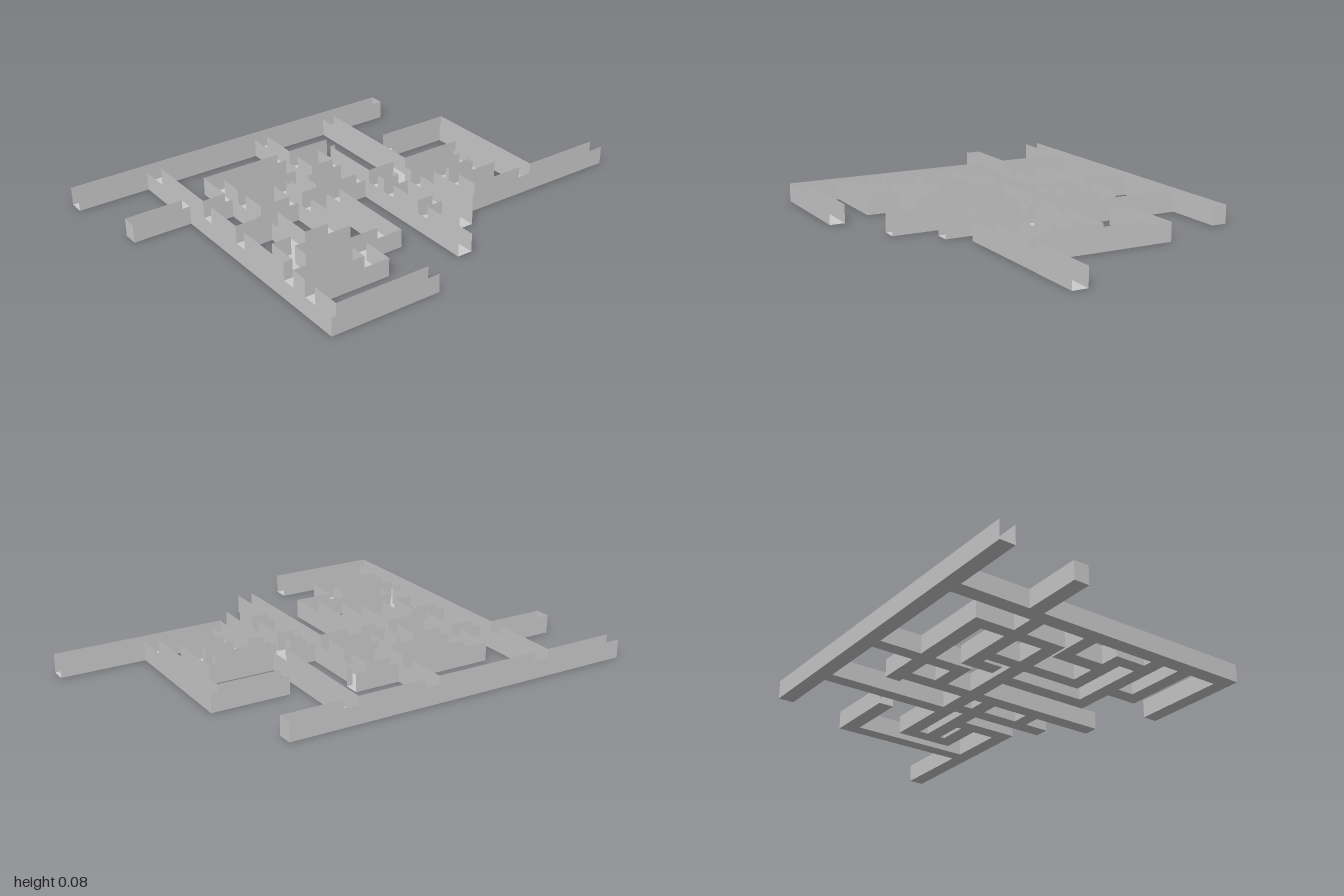
import * as THREE from 'three';

const HEIGHT = 0.078;

// Corridor footprints: [x0, x1, z0, z1, open end]
const corridors = [
  // outer passages
  [-0.70, -0.635, -0.52, 1.0, 'z1'],
  [-0.70, 0.70, 0.625, 0.69],
  [0.635, 0.70, 0.215, 0.69, 'z0'],
  [-0.34, -0.275, 0.625, 0.94],
  // back hook
  [0.245, 0.31, -1.0, -0.275, 'z0'],
  [-0.345, 0.31, -0.645, -0.585],
  [-0.345, -0.28, -0.645, -0.315, 'z1'],
  [-0.005, 0.31, -0.34, -0.275],
  // central spine and its loops
  [-0.11, -0.045, -0.535, 0.525],
  [-0.11, 0.145, -0.535, -0.47],
  [0.08, 0.145, -0.535, -0.275],
  [-0.005, 0.06, -0.535, 0.0],
  [-0.70, -0.045, -0.255, -0.195],
  [-0.11, 0.39, -0.205, -0.14, 'x1'],
  [-0.455, 0.55, -0.065, 0.0, 'x1'],
  [0.22, 0.28, -0.205, 0.0],
  // left rooms
  [-0.455, -0.39, -0.09, 0.525, 'z0'],
  [-0.70, -0.22, 0.105, 0.165],
  [-0.28, -0.22, -0.065, 0.165],
  [-0.455, -0.045, 0.465, 0.525],
  [-0.285, -0.225, 0.185, 0.69],
  [-0.285, -0.135, 0.185, 0.25, 'x1'],
  // front right winding passages
  [-0.285, 0.225, 0.27, 0.33],
  [0.16, 0.225, 0.27, 0.585],
  [0.16, 0.365, 0.525, 0.585],
  [-0.11, 0.365, 0.13, 0.195],
  [0.30, 0.365, 0.13, 0.69],
  [0.30, 0.505, 0.295, 0.36],
  [0.44, 0.505, 0.295, 0.69],
  [-0.035, 0.025, 0.435, 0.69],
  [-0.035, 0.225, 0.435, 0.50],
];

const sortedUnique = (list) => [...new Set(list)].sort((a, b) => a - b);

// True where a wall would block an open corridor end
function isOpenEnd(axis, at, mid) {
  return corridors.some(([x0, x1, z0, z1, open]) => {
    if (!open || open[0] !== axis) return false;
    const edge = { x0, x1, z0, z1 }[open];
    const [lo, hi] = axis === 'x' ? [z0, z1] : [x0, x1];
    return edge === at && mid > lo && mid < hi;
  });
}

function quadMesh(name, quads, material) {
  const positions = [];
  for (const [a, b, c, d] of quads) {
    for (const p of [a, b, c, a, c, d]) positions.push(...p);
  }
  const geometry = new THREE.BufferGeometry();
  geometry.setAttribute('position', new THREE.Float32BufferAttribute(positions, 3));
  geometry.computeVertexNormals();
  const mesh = new THREE.Mesh(geometry, material);
  mesh.name = name;
  return mesh;
}

export function createModel() {
  const xs = sortedUnique(corridors.flatMap((c) => [c[0], c[1]]));
  const zs = sortedUnique(corridors.flatMap((c) => [c[2], c[3]]));

  // A grid cell is filled when any corridor covers it
  const filled = (i, j) => {
    if (i < 0 || j < 0 || i >= xs.length - 1 || j >= zs.length - 1) return false;
    const x = (xs[i] + xs[i + 1]) / 2;
    const z = (zs[j] + zs[j + 1]) / 2;
    return corridors.some(([x0, x1, z0, z1]) => x > x0 && x < x1 && z > z0 && z < z1);
  };

  const floor = [];
  const walls = [];
  const addWall = (ax, az, bx, bz) =>
    walls.push([[ax, 0, az], [bx, 0, bz], [bx, HEIGHT, bz], [ax, HEIGHT, az]]);

  for (let i = 0; i < xs.length - 1; i++) {
    for (let j = 0; j < zs.length - 1; j++) {
      if (!filled(i, j)) continue;
      const [x0, x1, z0, z1] = [xs[i], xs[i + 1], zs[j], zs[j + 1]];
      const mx = (x0 + x1) / 2;
      const mz = (z0 + z1) / 2;
      floor.push([[x0, 0, z0], [x0, 0, z1], [x1, 0, z1], [x1, 0, z0]]);
      // Walls stand only along the outline of the joined corridors
      if (!filled(i - 1, j) && !isOpenEnd('x', x0, mz)) addWall(x0, z0, x0, z1);
      if (!filled(i + 1, j) && !isOpenEnd('x', x1, mz)) addWall(x1, z1, x1, z0);
      if (!filled(i, j - 1) && !isOpenEnd('z', z0, mx)) addWall(x1, z0, x0, z0);
      if (!filled(i, j + 1) && !isOpenEnd('z', z1, mx)) addWall(x0, z1, x1, z1);
    }
  }

  const material = new THREE.MeshStandardMaterial({
    color: 0xcccccc, flatShading: true, side: THREE.DoubleSide,
  });
  const model = new THREE.Group();
  model.name = 'corridorMaze';
  model.add(quadMesh('floor', floor, material), quadMesh('walls', walls, material));
  return model;
}
